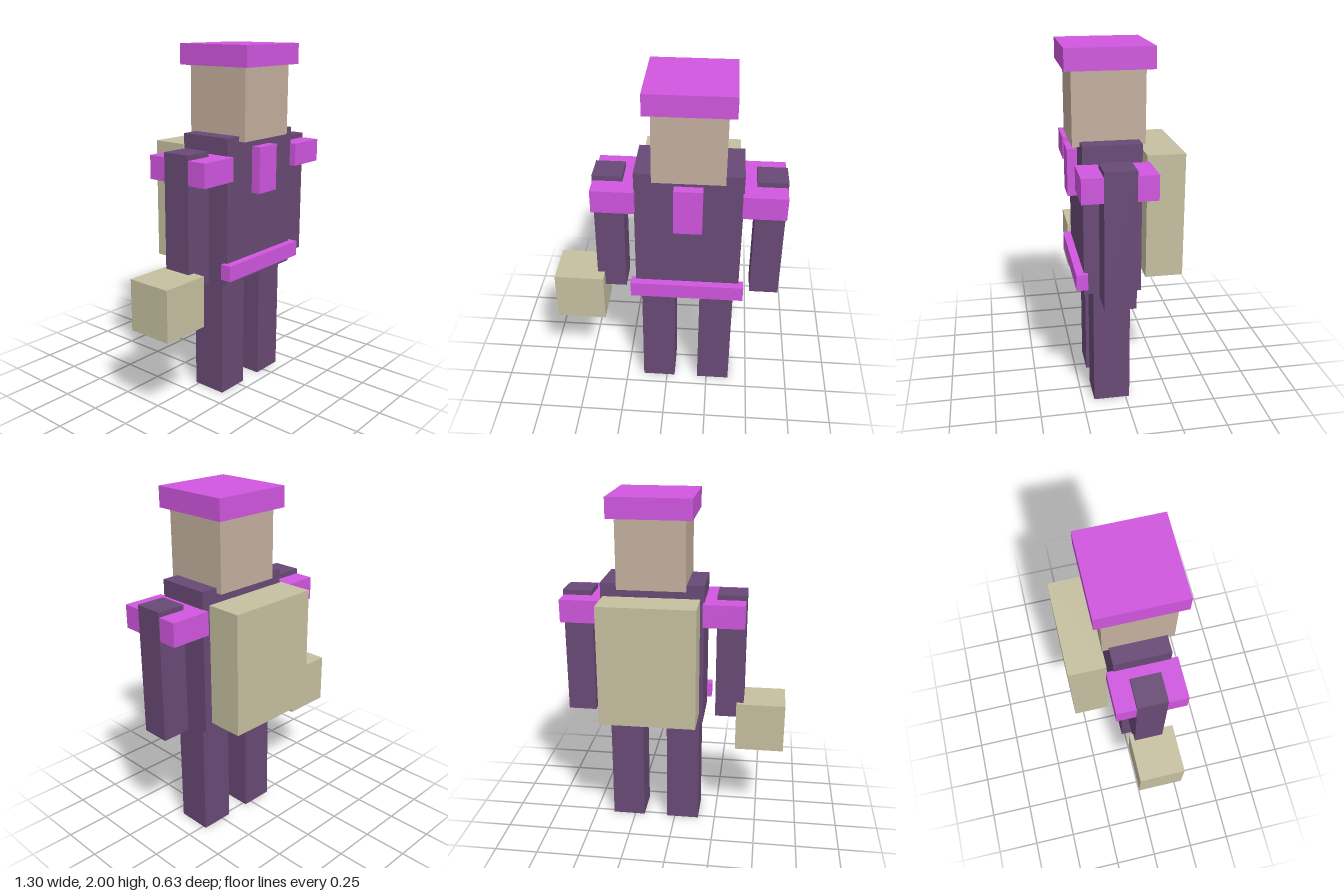
import * as THREE from 'three';

const CENTRE = 0.12; // the figure's own middle line; the satchel hangs to one side

export function createModel() {
  const model = new THREE.Group();
  model.name = 'blockFigure';

  const paint = (color) => new THREE.MeshStandardMaterial({ color });
  const cloth = paint(0x694a75);
  const trim = paint(0xd056df);
  const skin = paint(0xc4b09e);
  const canvas = paint(0xc6c0a0);

  // Box spanning the given [min, max] ranges
  function block(name, material, [x0, x1], [y0, y1], [z0, z1]) {
    const mesh = new THREE.Mesh(new THREE.BoxGeometry(x1 - x0, y1 - y0, z1 - z0), material);
    mesh.position.set((x0 + x1) / 2, (y0 + y1) / 2, (z0 + z1) / 2);
    mesh.name = name;
    model.add(mesh);
  }

  // Box centred on the middle line
  const centred = (name, material, width, y, z) =>
    block(name, material, [CENTRE - width / 2, CENTRE + width / 2], y, z);

  // Matching boxes on both sides, measured outwards from the middle line
  function pair(name, material, [inner, outer], y, z) {
    block('left' + name, material, [CENTRE + inner, CENTRE + outer], y, z);
    block('right' + name, material, [CENTRE - outer, CENTRE - inner], y, z);
  }

  // Body
  centred('torso', cloth, 0.585, [0.693, 1.518], [-0.077, 0.236]);
  centred('head', skin, 0.388, [1.49, 1.89], [-0.113, 0.275]);
  pair('Arm', cloth, [0.36, 0.526], [0.708, 1.45], [-0.005, 0.162]);
  pair('Leg', cloth, [0.072, 0.267], [0, 0.7], [-0.022, 0.183]);

  // Clothing trim
  centred('hat', trim, 0.468, [1.885, 2], [-0.155, 0.313]);
  pair('ShoulderPad', trim, [0.287, 0.522], [1.29, 1.422], [-0.115, 0.274]);
  centred('chestFlap', trim, 0.156, [1.187, 1.45], [0.225, 0.29]);
  centred('belt', trim, 0.64, [0.73, 0.82], [0.217, 0.28]);

  // Luggage
  centred('backpack', canvas, 0.545, [0.76, 1.45], [-0.313, -0.107]);
  block('satchel', canvas, [-0.65, -0.365], [0.508, 0.8], [-0.03, 0.235]);

  return model;
}
